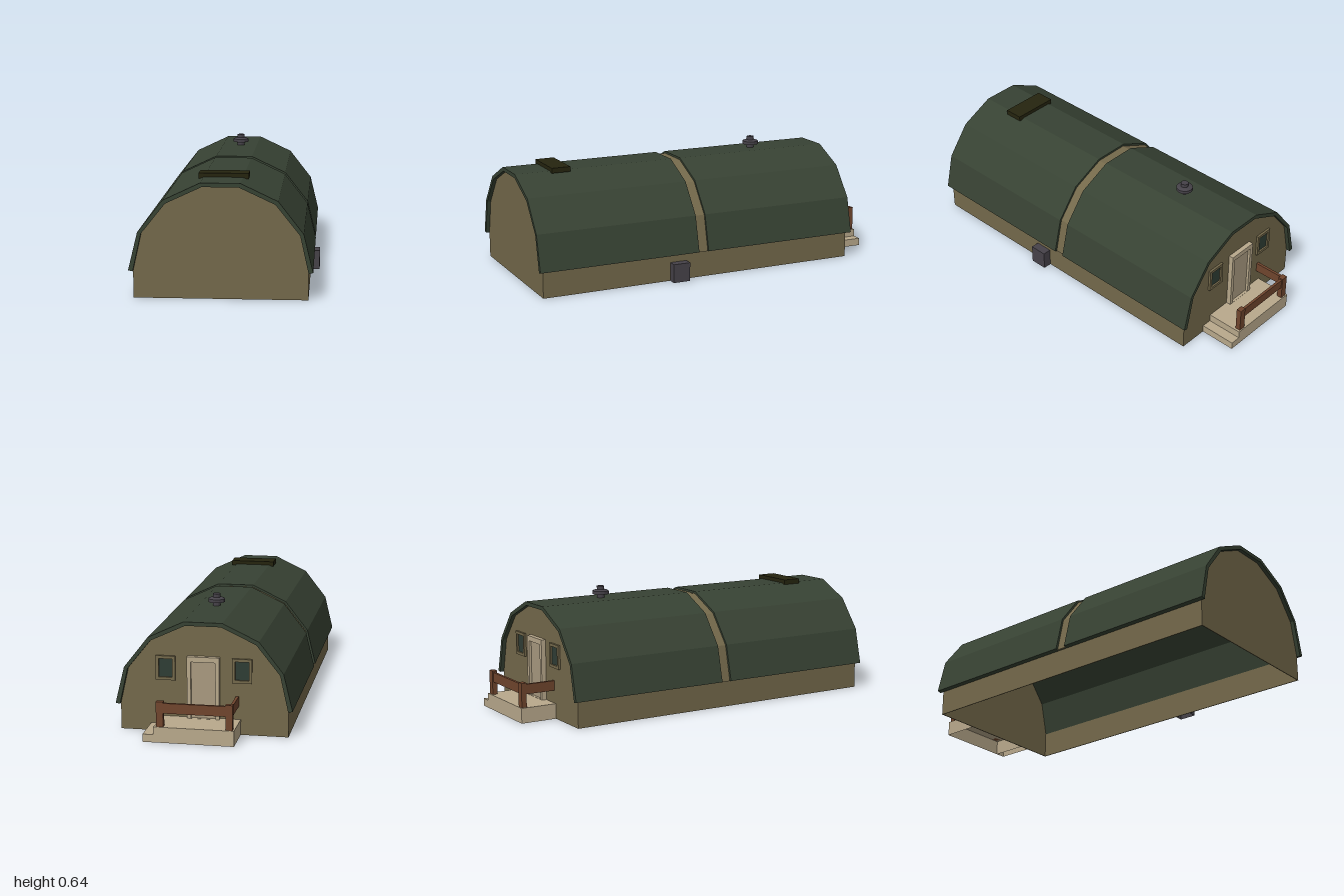
import * as THREE from 'three';

const mat = (name, color, side = THREE.FrontSide) => {
  const m = new THREE.MeshStandardMaterial({ color, side });
  m.name = name;
  return m;
};

export function createModel() {
  const group = new THREE.Group();
  const green = mat('roof green', 0x374233);
  const tan = mat('wall tan', 0x74694b, THREE.DoubleSide);
  const cream = mat('porch cream', 0xb9a98c, THREE.DoubleSide);
  const leafTone = mat('door beige', 0xa99a80);
  const brown = mat('railing brown', 0x70452d);
  const grey = mat('metal grey', 0x464249, THREE.DoubleSide);
  const olive = mat('hatch olive', 0x25240f);
  const glass = mat('window glass', 0x2f3d35);
  const CX = -0.0125; // hut axis

  const add = (name, geometry, material) => {
    const mesh = new THREE.Mesh(geometry, material);
    mesh.name = name;
    group.add(mesh);
    return mesh;
  };
  // box given by its limits on each axis
  const box = (name, material, [x0, x1], [y0, y1], [z0, z1], openBottom = false) => {
    const g = new THREE.BoxGeometry(x1 - x0, y1 - y0, z1 - z0);
    g.translate((x0 + x1) / 2, (y0 + y1) / 2, (z0 + z1) / 2);
    if (openBottom) {
      g.setIndex([...g.index.array].filter((_, i) => i < 18 || i >= 24));
      g.clearGroups();
    }
    return add(name, g, material);
  };
  const extrude = (name, points, material, z0, z1, holes = []) => {
    const shape = new THREE.Shape(points);
    shape.holes = holes.map((h) => new THREE.Path(h));
    const g = new THREE.ExtrudeGeometry(shape, { depth: z1 - z0, bevelEnabled: false });
    return add(name, g.translate(0, 0, z0), material);
  };

  // faceted arch, t = 0 on the inside of the shell and 1 on the outside
  const inner = [[0.43, 0.136], [0.388, 0.324], [0.268, 0.474], [0.09, 0.557]];
  const outer = [[0.4525, 0.141], [0.406, 0.331], [0.282, 0.49], [0.098, 0.577]];
  const arch = (t) => {
    const half = inner.map(([x, y], i) => [x + (outer[i][0] - x) * t, y + (outer[i][1] - y) * t]);
    const mirrored = half.map(([x, y]) => [-x, y]).reverse();
    return [...half, ...mirrored].map(([x, y]) => new THREE.Vector2(CX + x, y));
  };
  const shell = (a, b) => [...arch(b), ...arch(a).reverse()];

  // roof: two panels over a lining, with a tan band in the gap
  extrude('frontRoof', shell(0, 1), green, 0.112, 1);
  extrude('backRoof', shell(0, 1), green, -0.826, 0.057);
  extrude('roofLining', shell(0, 0.2), green, 0.057, 0.112);
  extrude('roofBand', shell(0.2, 0.45), tan, 0.057, 0.112);

  // walls
  const rect = (x, y, w, h) => [[-1, -1], [1, -1], [1, 1], [-1, 1]]
    .map(([a, b]) => new THREE.Vector2(x + a * w / 2, y + b * h / 2));
  const windows = [-1, 1].map((s) => [CX + s * 0.195, 0.333]);
  const endWall = [new THREE.Vector2(CX - 0.43, 0), new THREE.Vector2(CX + 0.43, 0), ...arch(0)];
  extrude('frontWall', endWall, tan, 0.976, 0.98);
  extrude('backWall', endWall, tan, -0.804, -0.8);
  for (const s of [-1, 1]) {
    const x = CX + s * 0.428;
    box('sideWall', tan, [x - 0.002, x + 0.002], [0, 0.14], [-0.8, 0.98]);
  }

  // windows and door on the back wall
  for (const [x, y] of windows) {
    extrude('windowFrame', rect(x, y, 0.1, 0.125), tan, -0.816, -0.804, [rect(x, y, 0.07, 0.095)]);
    box('windowPane', glass, [x - 0.035, x + 0.035], [y - 0.0475, y + 0.0475], [-0.807, -0.803]);
  }
  extrude('doorFrame', rect(CX, 0.24, 0.165, 0.32), cream, -0.829, -0.804, [rect(CX, 0.227, 0.125, 0.292)]);
  box('doorLeaf', leafTone, [CX - 0.0625, CX + 0.0625], [0.08, 0.374], [-0.815, -0.804]);

  // porch and side step, hollow underneath
  box('porch', cream, [-0.2, 0.205], [0, 0.08], [-1, -0.804], true);
  box('porchStep', cream, [0.205, 0.26], [0, 0.04], [-1, -0.804], true);

  // railing
  for (const x of [-0.174, 0.174]) {
    box('railPost', brown, [x - 0.018, x + 0.018], [0.08, 0.208], [-0.994, -0.966]);
  }
  box('backRail', brown, [-0.16, 0.16], [0.148, 0.2], [-0.988, -0.974]);
  box('sideRail', brown, [-0.19, -0.175], [0.148, 0.2], [-0.97, -0.804]);

  // roof vent
  const ventProfile = [[0.02, 0.56], [0.02, 0.592], [0.044, 0.597], [0.044, 0.614], [0.03, 0.62], [0.02, 0.621], [0.02, 0.64], [0, 0.64]];
  const vent = new THREE.LatheGeometry(ventProfile.map(([x, y]) => new THREE.Vector2(x, y)), 12).toNonIndexed();
  vent.computeVertexNormals();
  add('roofVent', vent, grey).position.set(-0.006, 0, -0.425);

  // roof hatch and utility box
  box('roofHatch', olive, [-0.135, 0.115], [0.57, 0.597], [0.705, 0.808]);
  box('utilityBox', grey, [0.418, 0.464], [0, 0.1], [0.178, 0.272], true);

  return group;
}
